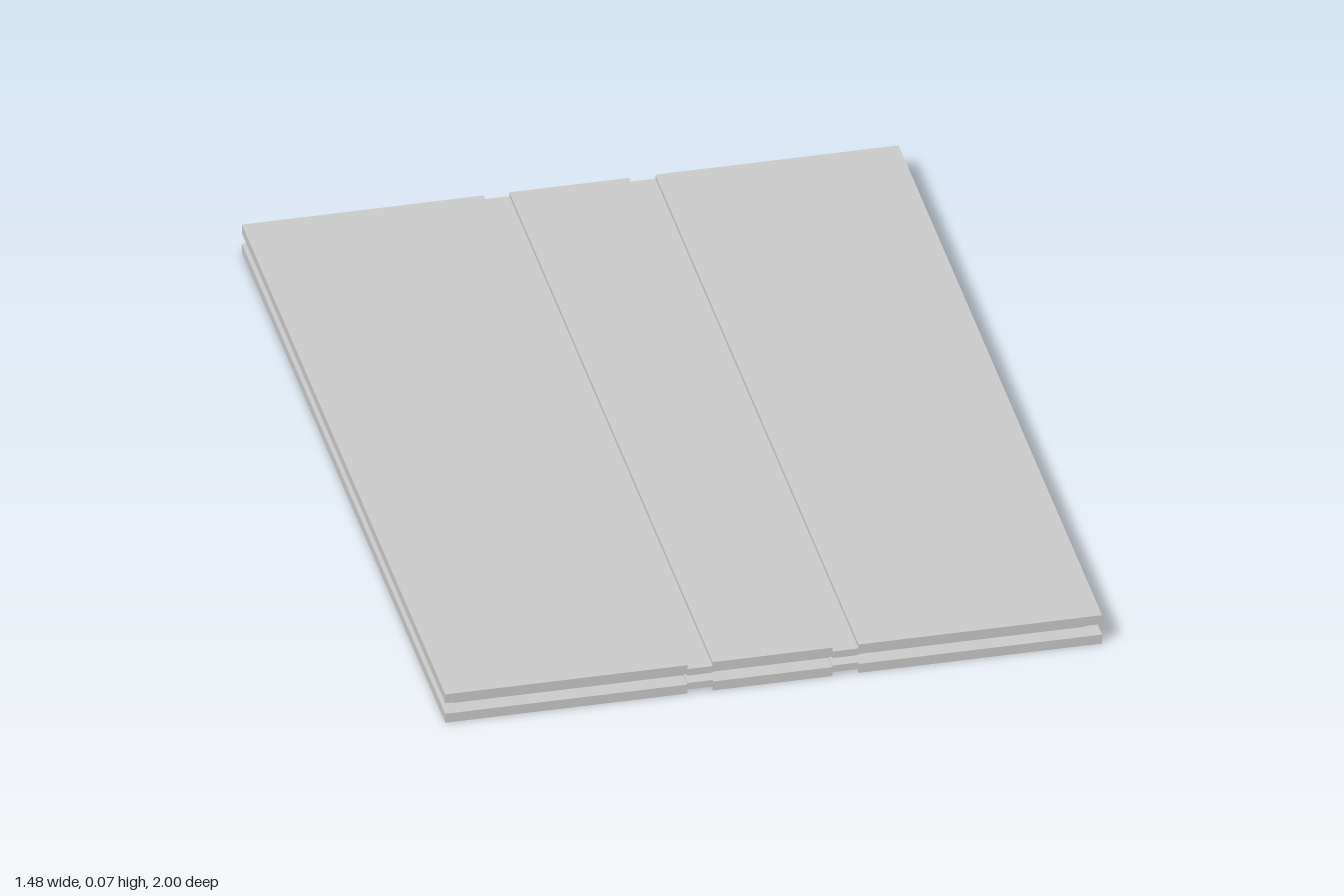
import * as THREE from 'three';

const LENGTH = 2;
const HALF_WIDTH = 0.738;
const HEIGHT = 0.073;
const BOARD = 0.023; // cover board thickness
const DIP = 0.01;    // depth of the hinge grooves on the outside
const SAG = 0.004;   // how far the hinge bulges inwards
const HINGES = [[-0.194, -0.137], [0.132, 0.191]];

// Cover cross-section: flat boards joined by two recessed hinge strips
function coverShape() {
  const outer = [[-HALF_WIDTH, 0]];
  const inner = [[-HALF_WIDTH, BOARD]];
  for (const [a, b] of HINGES) {
    outer.push([a, 0], [a, DIP], [b, DIP], [b, 0]);
    inner.push([a, BOARD], [a, BOARD + SAG], [b, BOARD + SAG], [b, BOARD]);
  }
  outer.push([HALF_WIDTH, 0]);
  inner.push([HALF_WIDTH, BOARD]);
  return new THREE.Shape([...outer, ...inner.reverse()].map(([x, y]) => new THREE.Vector2(x, y)));
}

export function createModel() {
  const group = new THREE.Group();
  group.name = 'foldedCoverPanel';
  const material = new THREE.MeshStandardMaterial({ color: 0xcccccc, flatShading: true });

  const add = (name, geometry) => {
    const mesh = new THREE.Mesh(geometry, material);
    mesh.name = name;
    group.add(mesh);
    return mesh;
  };

  // Lower and upper covers, the upper one turned over about the z axis
  const cover = new THREE.ExtrudeGeometry(coverShape(), { depth: LENGTH, bevelEnabled: false });
  cover.translate(0, 0, -LENGTH / 2);
  add('lowerCover', cover);

  const upper = cover.clone().rotateZ(Math.PI).translate(0, HEIGHT, 0);
  // Turning over swaps the grooves, so turn about y as well to line them up
  upper.rotateY(Math.PI);
  add('upperCover', upper);

  // Inner block, set back from the cover edges on all sides
  const core = new THREE.BoxGeometry(1.42, HEIGHT - 2 * BOARD, 1.92);
  core.translate(0, HEIGHT / 2, 0);
  add('innerBlock', core);

  return group;
}
